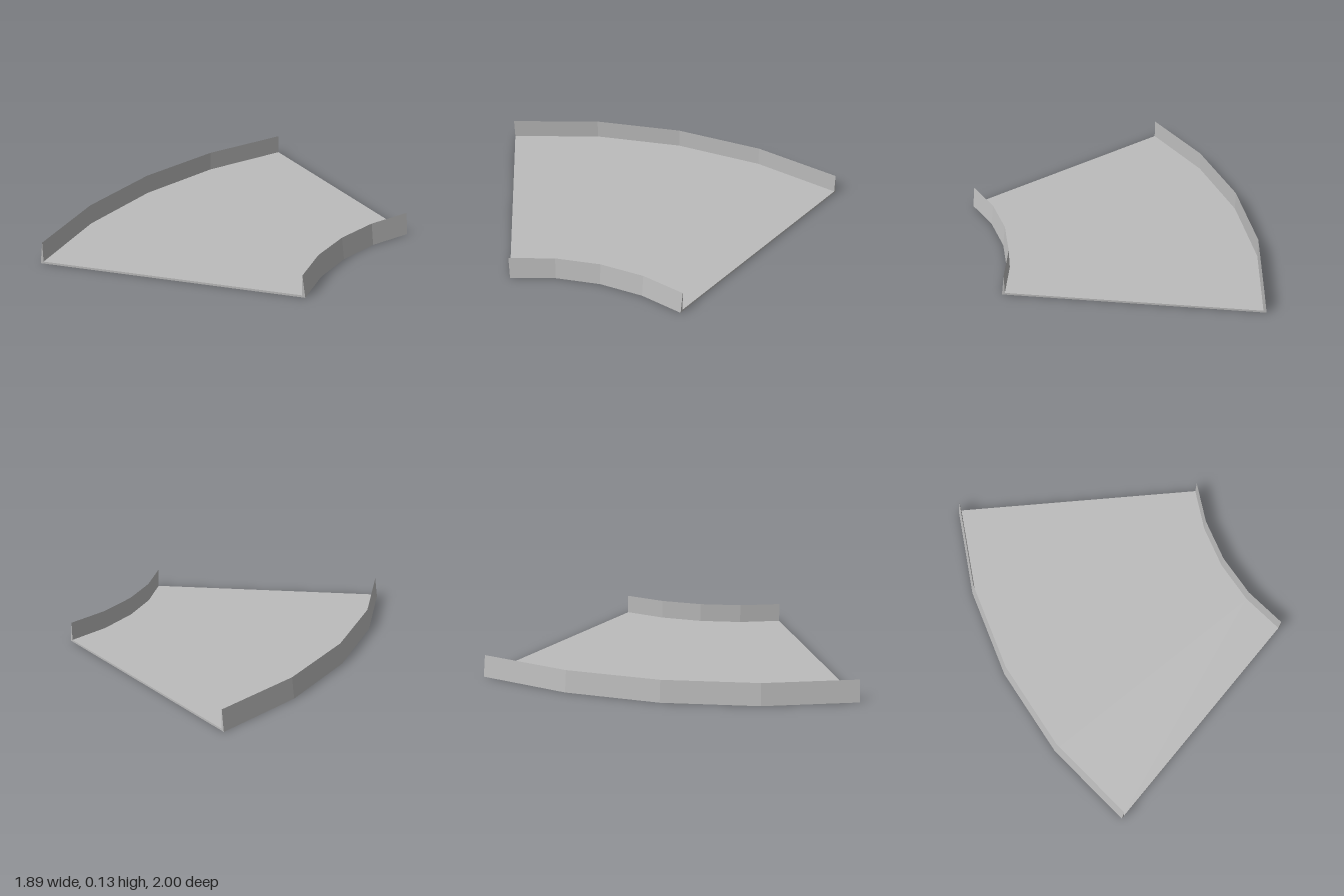
import * as THREE from 'three';

const SEGMENTS = 4;
const TURN = Math.PI / 4;
const CENTRE_X = 1.881;
const CENTRE_Z = 1;
const OUTER = 2.828;
const INNER = 1.32;
const WALL = 0.018;
const HEIGHT = 0.128;
const FLOOR = 0.012;

// Sweeps a convex (radius, y) section, listed counter-clockwise, around the bend.
function sweep(section) {
  const positions = [];
  const point = (step, [radius, y]) => {
    const a = (step / SEGMENTS) * TURN;
    return [CENTRE_X - radius * Math.cos(a), y, CENTRE_Z - radius * Math.sin(a)];
  };
  const triangle = (a, b, c) => positions.push(...a, ...b, ...c);

  for (let s = 0; s < SEGMENTS; s++) {
    section.forEach((p, i) => {
      const q = section[(i + 1) % section.length];
      triangle(point(s, p), point(s, q), point(s + 1, q));
      triangle(point(s, p), point(s + 1, q), point(s + 1, p));
    });
  }
  // End caps
  for (let i = 1; i < section.length - 1; i++) {
    const [a, b, c] = [section[0], section[i], section[i + 1]];
    triangle(point(0, a), point(0, c), point(0, b));
    triangle(point(SEGMENTS, a), point(SEGMENTS, b), point(SEGMENTS, c));
  }

  const geometry = new THREE.BufferGeometry();
  geometry.setAttribute('position', new THREE.Float32BufferAttribute(positions, 3));
  geometry.computeVertexNormals();
  return geometry;
}

export function createModel() {
  const group = new THREE.Group();
  group.name = 'curvedTrack';
  const grey = new THREE.MeshStandardMaterial({ color: 0xbcbcbc });
  grey.name = 'grey';
  grey.flatShading = true;

  const parts = {
    // Flat slab between the walls
    floor: [
      [INNER + WALL, 0], [OUTER - WALL, 0],
      [OUTER - WALL, FLOOR], [INNER + WALL, FLOOR],
    ],
    // Wedge walls: upright towards the floor, sloping outside
    outerWall: [[OUTER - WALL, 0], [OUTER, 0], [OUTER - WALL, HEIGHT]],
    innerWall: [[INNER, 0], [INNER + WALL, 0], [INNER + WALL, HEIGHT]],
  };
  for (const [name, section] of Object.entries(parts)) {
    const mesh = new THREE.Mesh(sweep(section), grey);
    mesh.name = name;
    group.add(mesh);
  }
  return group;
}
